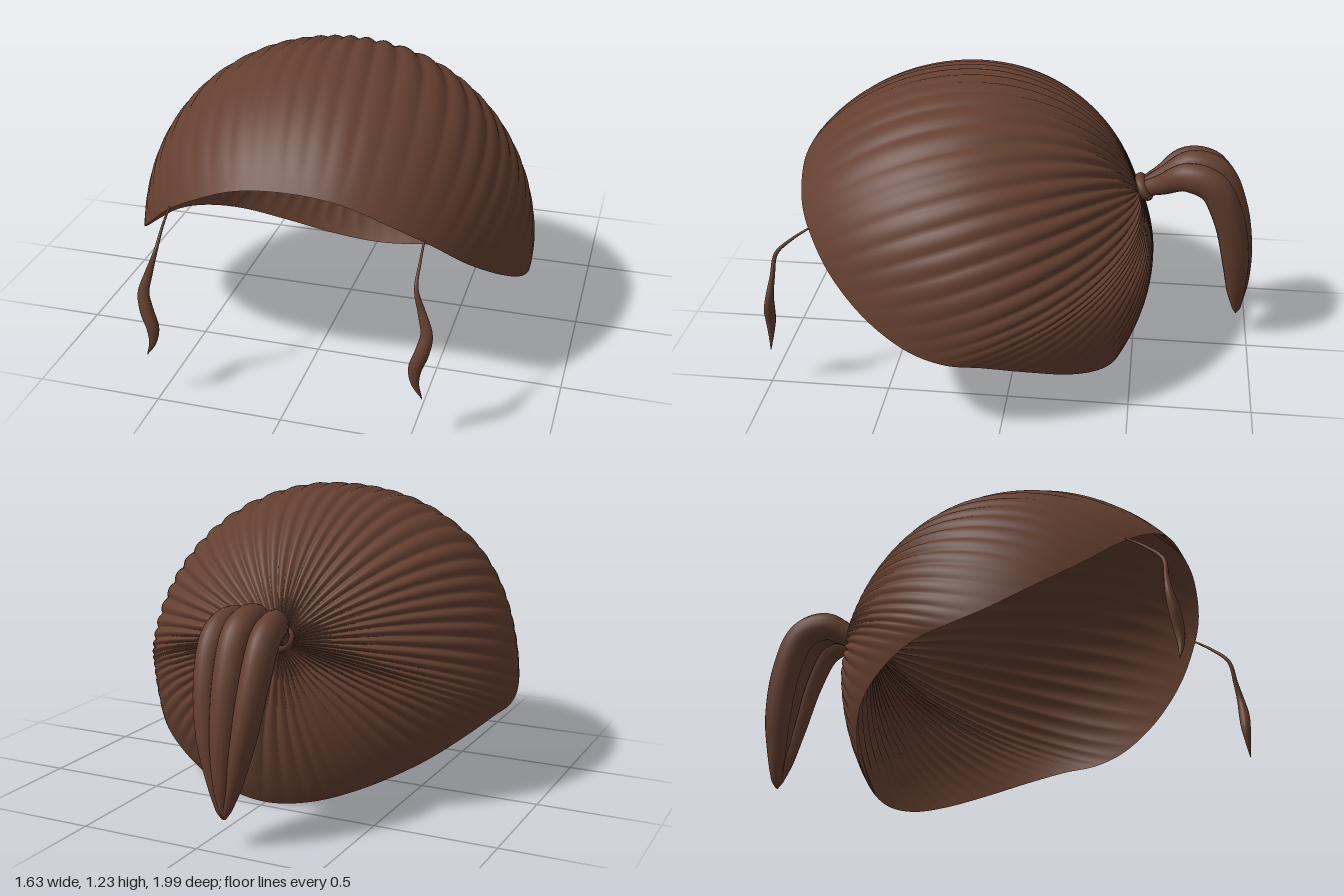
import * as THREE from 'three';

const hair = new THREE.MeshStandardMaterial({ color: 0x643f30, side: THREE.DoubleSide });
hair.name = 'brown hair';
const V = (x, y, z) => new THREE.Vector3(x, y, z);

// Smooth surface from rows of points, each row a closed loop
function loft(name, rows, cols, pointAt) {
  const pos = [], index = [];
  for (let i = 0; i <= rows; i++)
    for (let j = 0; j < cols; j++) pos.push(...pointAt(i / rows, j / cols).toArray());
  for (let i = 0; i < rows; i++)
    for (let j = 0; j < cols; j++) {
      const k = (j + 1) % cols, a = i * cols + j, b = i * cols + k;
      const c = a + cols, d = b + cols;
      index.push(a, c, b, b, c, d);
    }
  const g = new THREE.BufferGeometry();
  g.setAttribute('position', new THREE.Float32BufferAttribute(pos, 3));
  g.setIndex(index);
  g.computeVertexNormals();
  const mesh = new THREE.Mesh(g, hair);
  mesh.name = name;
  return mesh;
}

// Tapered lock of hair; stations are [x, y, z, halfWidth, halfThickness]
function lock(name, stations) {
  const path = new THREE.CatmullRomCurve3(stations.map(s => V(s[0], s[1], s[2])));
  const size = new THREE.CatmullRomCurve3(stations.map((s, i) => V(s[3], s[4], i * 0.1)));
  const n = stations.length - 1;
  return loft(name, n * 6, 16, (t, u) => {
    const p = path.getPoint(t), r = size.getPoint(t), dir = path.getTangent(t);
    const side = V(1, 0, 0).addScaledVector(dir, -dir.x).normalize();
    const up = side.clone().cross(dir);
    const a = u * Math.PI * 2;
    return p.addScaledVector(side, Math.cos(a) * Math.max(r.x, 0.001))
      .addScaledVector(up, Math.sin(a) * Math.max(r.y, 0.001));
  });
}

// Pleated cap: arcs run over an ellipsoid from the tie point to the rim
function makeCap() {
  const centre = V(0, 0.45, 0.2);
  const toUnit = p => {
    const d = p.clone().sub(centre);
    return V(d.x / 0.815, d.y / (d.y > 0 ? 0.775 : 0.85), d.z / (d.z > 0 ? 0.837 : 0.77));
  };
  const fromUnit = d => V(d.x * 0.815, d.y * (d.y > 0 ? 0.775 : 0.85),
    d.z * (d.z > 0 ? 0.837 : 0.77)).add(centre);
  const half = [
    [0.2, 0.885, 0.875], [0.4, 0.795, 0.835], [0.52, 0.71, 0.77], [0.63, 0.6, 0.67],
    [0.74, 0.48, 0.51], [0.8, 0.39, 0.34], [0.812, 0.35, 0.2], [0.785, 0.33, 0.06],
    [0.72, 0.28, -0.1], [0.6, 0.2, -0.26], [0.4, 0.1, -0.38], [0.2, 0.03, -0.44]];
  const rim = new THREE.CatmullRomCurve3([
    V(0, 0.907, 0.88), ...half.map(p => V(...p)), V(0, 0.003, -0.46),
    ...half.slice().reverse().map(p => V(-p[0], p[1], p[2]))], true);
  rim.arcLengthDivisions = 600;
  const pole = toUnit(V(-0.09, 0.69, -0.495));
  const poleLen = pole.length();
  pole.normalize();
  const cols = 512, ends = [];
  for (let j = 0; j < cols; j++) ends.push(toUnit(rim.getPointAt(j / cols)));
  return loft('pleatedCap', 44, cols, (t, u) => {
    const end = ends[Math.round(u * cols)], len = end.length();
    const e = end.clone().divideScalar(len);
    const angle = pole.angleTo(e), s = Math.sin(angle);
    const d = pole.clone().multiplyScalar(Math.sin((1 - t) * angle) / s)
      .addScaledVector(e, Math.sin(t * angle) / s);
    // Rounded ridges with narrow valleys, fading at the rim
    const a = u * Math.PI * 2;
    const wave = Math.abs(Math.sin(32 * a + 0.9 * Math.sin(3 * a) + 0.6 * Math.sin(7 * a))) - 0.6;
    const pleat = 0.02 * wave * Math.sin(Math.PI * Math.pow(t, 0.55));
    const base = 1 + (poleLen - 1) * Math.pow(1 - t, 4) + (len - 1) * t * t;
    return fromUnit(d.multiplyScalar(base + pleat));
  });
}

// Ponytail of three fanned locks that meet again at the tip
function makePonytail() {
  const group = new THREE.Group();
  group.name = 'ponytail';
  // [y, z, sideways fan, half width, half thickness]
  const spine = [
    [0.685, -0.47, 0.015, 0.004, 0.004], [0.71, -0.51, 0.022, 0.025, 0.03],
    [0.76, -0.6, 0.05, 0.036, 0.045], [0.815, -0.7, 0.085, 0.05, 0.062],
    [0.785, -0.81, 0.1, 0.056, 0.068], [0.64, -0.885, 0.095, 0.055, 0.065],
    [0.43, -0.93, 0.07, 0.048, 0.058], [0.26, -0.945, 0.035, 0.035, 0.04],
    [0.15, -0.948, 0.012, 0.018, 0.02], [0.115, -0.948, 0.005, 0.002, 0.002]];
  [-1, 0, 1].forEach((k, n) => {
    const lift = k === 0 ? 0.012 : -0.012;
    group.add(lock(['rightTailLock', 'middleTailLock', 'leftTailLock'][n],
      spine.map(([y, z, fan, w, h], i) => {
        const m = i > 1 && i < 8 ? lift : 0;
        return [-0.09 + k * fan, y + m * 0.8, z - m * 0.6, w * (k ? 1 : 1.12), h];
      })));
  });
  const tie = new THREE.Mesh(new THREE.TorusGeometry(0.042, 0.021, 12, 32), hair);
  tie.name = 'hairTie';
  tie.position.set(-0.09, 0.713, -0.518);
  tie.lookAt(-0.09, 0.763, -0.608);
  tie.scale.x = 1.15;
  group.add(tie);
  return group;
}

export function createModel() {
  const model = new THREE.Group();
  model.name = 'hair';
  model.add(makeCap(), makePonytail());

  // Wavy tendrils hanging from the front rim
  const tendril = [
    [0.495, 0.74, 0.79, 0.004, 0.004], [0.497, 0.69, 0.86, 0.005, 0.006],
    [0.5, 0.62, 0.93, 0.008, 0.008], [0.527, 0.53, 0.945, 0.016, 0.01],
    [0.548, 0.45, 0.957, 0.023, 0.016], [0.535, 0.38, 0.968, 0.027, 0.022],
    [0.512, 0.31, 0.975, 0.025, 0.02], [0.515, 0.25, 0.978, 0.015, 0.012],
    [0.542, 0.187, 0.977, 0.001, 0.001]];
  for (const side of [-1, 1])
    model.add(lock(side > 0 ? 'leftTendril' : 'rightTendril',
      tendril.map(([x, ...rest]) => [x * side, ...rest])));
  return model;
}
